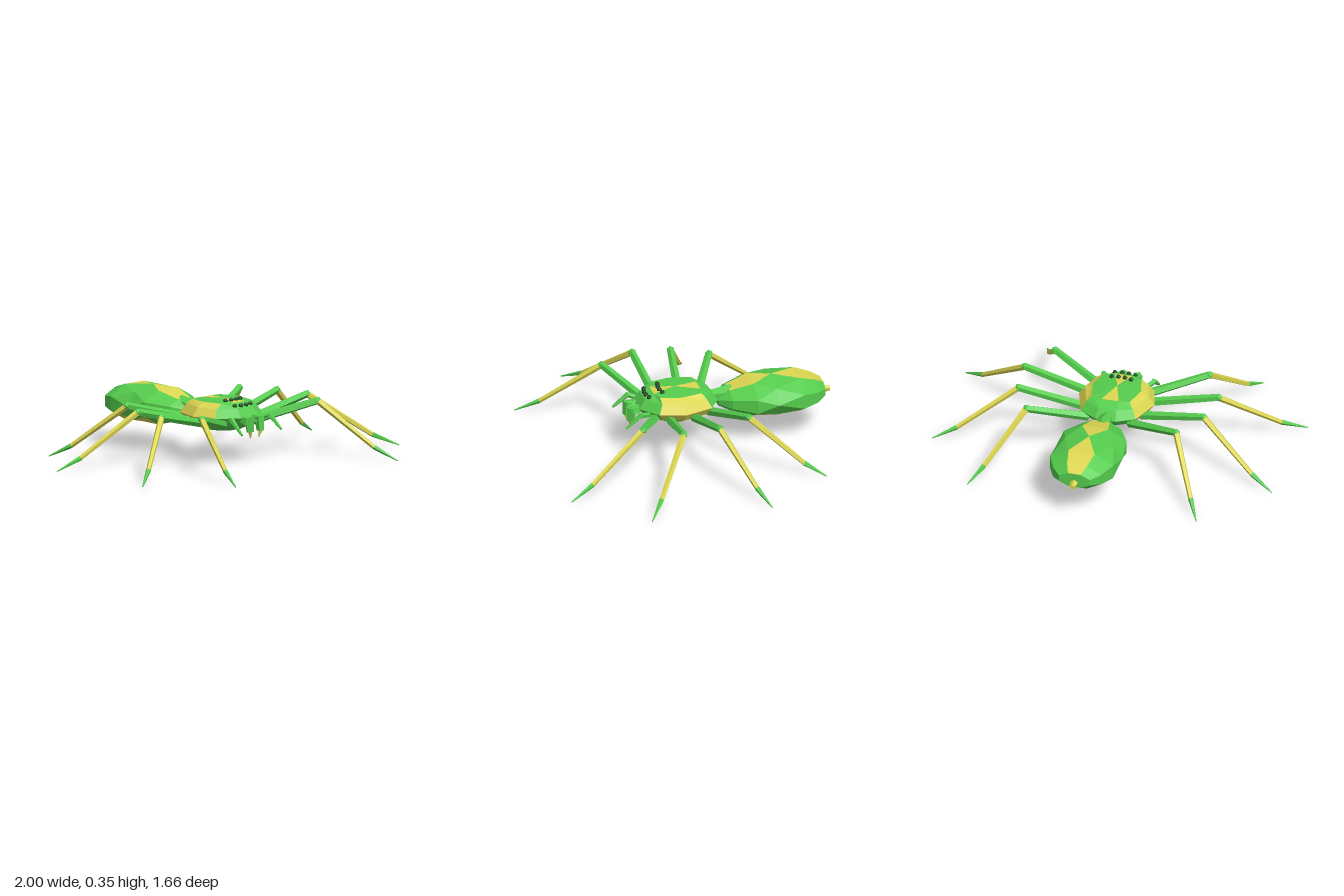
import * as THREE from 'three';

const mat = (name, color) => Object.assign(new THREE.MeshStandardMaterial({ color, flatShading: true }), { name });

export function createModel() {
  const green = mat('green', 0x55cc4d);
  const yellow = mat('yellow', 0xdcd652);
  const dark = mat('eye dark', 0x1d4824);
  const root = new THREE.Group();
  root.name = 'spider';
  const V = (x, y, z) => new THREE.Vector3(x, y, z);

  function add(name, geo, material, parent = root) {
    const m = new THREE.Mesh(geo, material);
    m.name = name;
    parent.add(m);
    return m;
  }

  // tapered faceted rod between two points
  function rod(name, a, b, ra, rb, material, parent = root, sides = 5) {
    const d = b.clone().sub(a);
    const m = add(name, new THREE.CylinderGeometry(rb, ra, d.length(), sides), material, parent);
    m.position.copy(a).add(b).multiplyScalar(0.5);
    m.quaternion.setFromUnitVectors(V(0, 1, 0), d.normalize());
    return m;
  }

  // collects faces by colour and turns each one away from the body's centre
  function shell(name, centre) {
    const lists = { green: [], yellow: [] };
    const tri = (isYellow, a, b, c) => {
      const n = b.clone().sub(a).cross(c.clone().sub(a));
      const out = a.clone().add(b).add(c).divideScalar(3).sub(centre);
      const pts = n.dot(out) < 0 ? [a, c, b] : [a, b, c];
      lists[isYellow ? 'yellow' : 'green'].push(...pts);
    };
    const quad = (y, a, b, c, d) => { tri(y, a, b, c); tri(y, a, c, d); };
    const finish = () => {
      const g = new THREE.Group();
      g.name = name;
      root.add(g);
      for (const [key, material] of [['green', green], ['yellow', yellow]]) {
        const geo = new THREE.BufferGeometry().setFromPoints(lists[key]);
        geo.computeVertexNormals();
        add(`${name} ${key} faces`, geo, material, g);
      }
    };
    return { tri, quad, finish };
  }

  // head and thorax: horizontal ten-sided rings
  {
    const s = shell('cephalothorax', V(0, 0.25, 0.06));
    const outline = (half) => [...half, ...half.slice().reverse().map(([x, z]) => [-x, z])];
    const outer = outline([[0.06, -0.165], [0.16, -0.11], [0.22, 0.06], [0.18, 0.2], [0.07, 0.29]]);
    const inner = outline([[0.05, -0.07], [0.11, -0.06], [0.14, 0.06], [0.11, 0.18], [0.05, 0.2]]);
    const scaled = (k, y) => outer.map(([x, z]) => V(x * k, y, 0.06 + (z - 0.06) * k));
    const rings = [scaled(0.5, 0.175), scaled(0.85, 0.215), scaled(1, 0.26), scaled(0.84, 0.31),
      inner.map(([x, z]) => V(x, 0.335, z))];
    const n = outer.length;
    for (let i = 0; i < n; i++) {
      const j = (i + 1) % n;
      const side = [1, 2, 6, 7].includes(i);
      for (let r = 0; r < 4; r++) {
        s.quad(side && r > 0, rings[r][i], rings[r][j], rings[r + 1][j], rings[r + 1][i]);
      }
      s.tri(false, rings[0][i], rings[0][j], V(0, 0.175, 0.06));
      s.tri(i === 4 || i === 9, rings[4][i], rings[4][j], V(0, 0.345, 0.07));
    }
    s.finish();
  }

  // abdomen: eight-sided rings along z, the widest turned half a step
  {
    const s = shell('abdomen', V(0, 0.245, -0.48));
    const ring = (z, w, h, y, turned) => Array.from({ length: 8 }, (_, k) => {
      const a = (k + (turned ? 0 : 0.5)) * Math.PI / 4;
      const f = turned ? 1 : 1 / Math.cos(Math.PI / 8);
      return V(Math.cos(a) * w * f, y + Math.sin(a) * h * f, z);
    });
    const rings = [ring(-0.18, 0.045, 0.03, 0.235), ring(-0.24, 0.115, 0.06, 0.242),
      ring(-0.37, 0.183, 0.097, 0.243), ring(-0.49, 0.197, 0.111, 0.245, true),
      ring(-0.64, 0.183, 0.1, 0.244), ring(-0.73, 0.14, 0.074, 0.242), ring(-0.785, 0.09, 0.043, 0.245)];
    const straight = (A, B, marks) => {
      for (let k = 0; k < 8; k++) {
        const p = (k + 7) % 8;
        s.quad(marks.includes(k), A[p], A[k], B[k], B[p]);
      }
    };
    const staggered = (A, B) => {
      for (let k = 0; k < 8; k++) {
        s.tri([2, 5, 6, 7].includes(k), A[(k + 7) % 8], A[k], B[k]);
        s.tri([5, 6].includes(k), A[k], B[k], B[(k + 1) % 8]);
      }
    };
    straight(rings[0], rings[1], []);
    straight(rings[1], rings[2], [2, 6]);
    staggered(rings[2], rings[3]);
    staggered(rings[4], rings[3]);
    straight(rings[4], rings[5], [2, 6]);
    straight(rings[5], rings[6], [2]);
    for (let k = 0; k < 8; k++) {
      s.tri(false, rings[0][k], rings[0][(k + 1) % 8], V(0, 0.235, -0.18));
      s.tri(false, rings[6][k], rings[6][(k + 1) % 8], V(0, 0.245, -0.785));
    }
    s.finish();
  }

  rod('waist', V(0, 0.26, -0.12), V(0, 0.265, -0.26), 0.035, 0.055, green, root, 6);
  rod('spinneret', V(0, 0.227, -0.76), V(0, 0.227, -0.83), 0.027, 0.016, yellow);

  // two rows of four eyes
  for (const [y, z, spread] of [[0.343, 0.16, 0.019], [0.322, 0.238, 0.02]]) {
    for (const i of [-3, -1, 1, 3]) {
      const eye = add('eye', new THREE.IcosahedronGeometry(0.015, 0), dark);
      eye.position.set(i * spread, y, z - (Math.abs(i) === 3 ? 0.008 : 0));
    }
  }

  // legs: hip, knee, ankle and tip on the left side
  const legs = [
    [[0.13, 0.225, 0.21], [0.45, 0.31, 0.37], [0.58, 0.07, 0.695], [0.63, 0.004, 0.828]],
    [[0.16, 0.22, 0.14], [0.565, 0.31, 0.163], [0.87, 0.07, 0.373], [0.998, 0.004, 0.46]],
    [[0.16, 0.22, 0.0], [0.54, 0.31, -0.053], [0.86, 0.07, -0.185], [0.99, 0.004, -0.237]],
    [[0.12, 0.225, -0.1], [0.437, 0.31, -0.248], [0.603, 0.07, -0.525], [0.668, 0.004, -0.638]],
  ];
  for (const sx of [1, -1]) {
    const side = sx > 0 ? 'left' : 'right';
    const P = ([x, y, z]) => V(x * sx, y, z);
    legs.forEach((points, i) => {
      const g = new THREE.Group();
      g.name = `${side} leg ${i + 1}`;
      root.add(g);
      const [hip, knee, ankle, tip] = points.map(P);
      rod('thigh', hip, knee, 0.026, 0.021, green, g);
      const joint = add('knee', new THREE.IcosahedronGeometry(0.023, 0), green, g);
      joint.position.copy(knee);
      rod('shin', knee, ankle, 0.019, 0.014, yellow, g);
      rod('foot', ankle, tip, 0.015, 0.003, green, g);
    });

    // jaws with fangs
    rod(`${side} jaw base`, P([0.035, 0.25, 0.26]), P([0.042, 0.24, 0.325]), 0.026, 0.032, green);
    rod(`${side} jaw`, P([0.042, 0.262, 0.325]), P([0.04, 0.185, 0.335]), 0.03, 0.022, green);
    rod(`${side} fang`, P([0.04, 0.19, 0.335]), P([0.033, 0.148, 0.33]), 0.014, 0.002, yellow);

    // feelers beside the jaws
    rod(`${side} feeler base`, P([0.1, 0.235, 0.22]), P([0.148, 0.255, 0.3]), 0.015, 0.015, green);
    rod(`${side} feeler tip`, P([0.146, 0.26, 0.295]), P([0.152, 0.185, 0.385]), 0.016, 0.007, green);
  }
  return root;
}
